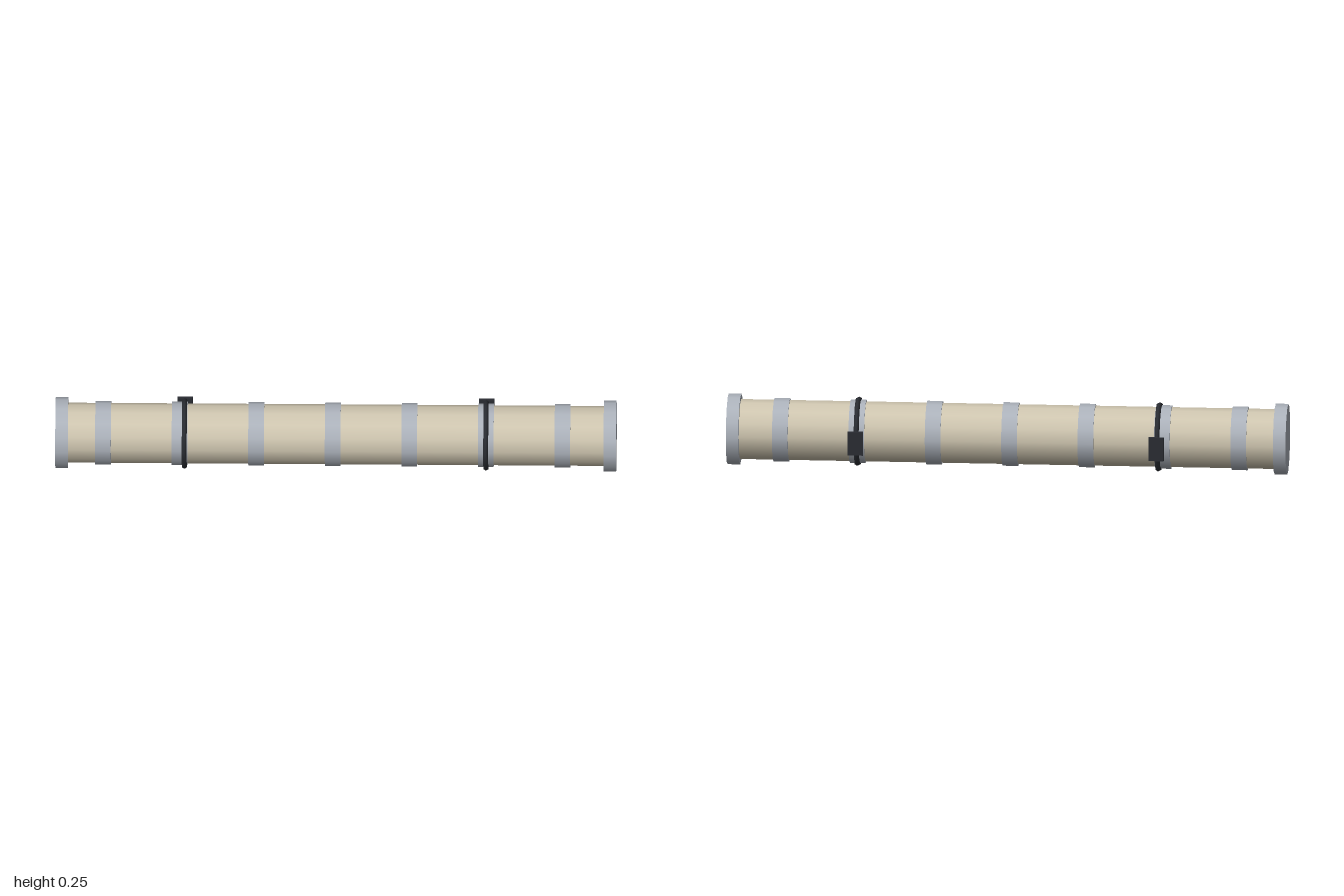
import * as THREE from 'three';

const AXIS_Y = 0.127, AXIS_Z = 0.02, SIDES = 14;

export function createModel() {
  const model = new THREE.Group();
  model.name = 'pipe';

  const paint = (color) => new THREE.MeshStandardMaterial({ color });
  const tan = paint(0xcfc6b0), steel = paint(0xadb3bc), dark = paint(0x2a2d33);

  const add = (name, geometry, material, x, y, z) => {
    const mesh = new THREE.Mesh(geometry, material);
    mesh.name = name;
    mesh.position.set(x, y, z);
    model.add(mesh);
  };

  // Cylinder lying along x on the pipe axis
  const ring = (name, radius, length, x, material) =>
    add(name, new THREE.CylinderGeometry(radius, radius, length, SIDES).rotateZ(Math.PI / 2),
      material, x, AXIS_Y, AXIS_Z);

  // Main tube
  ring('tube', 0.107, 1.96, 0, tan);

  // End caps
  for (const side of [-1, 1]) ring('endCap', 0.1265, 0.045, side * 0.9775, steel);

  // Evenly spaced joint bands
  for (let i = -3; i <= 3; i++) ring('jointBand', 0.1135, 0.056, -0.011 + i * 0.273, steel);

  // Clamps with an arm and wall plate behind the tube
  for (const x of [-0.54, 0.535]) {
    add('clampRing', new THREE.TorusGeometry(0.1168, 0.0102, 6, 12).rotateY(Math.PI / 2),
      dark, x, AXIS_Y, AXIS_Z);
    add('clampArm', new THREE.BoxGeometry(0.022, 0.024, 0.045), dark, x, AXIS_Y, -0.1145);
    add('wallPlate', new THREE.BoxGeometry(0.055, 0.086, 0.011), dark, x, AXIS_Y, -0.1405);
  }

  return model;
}
